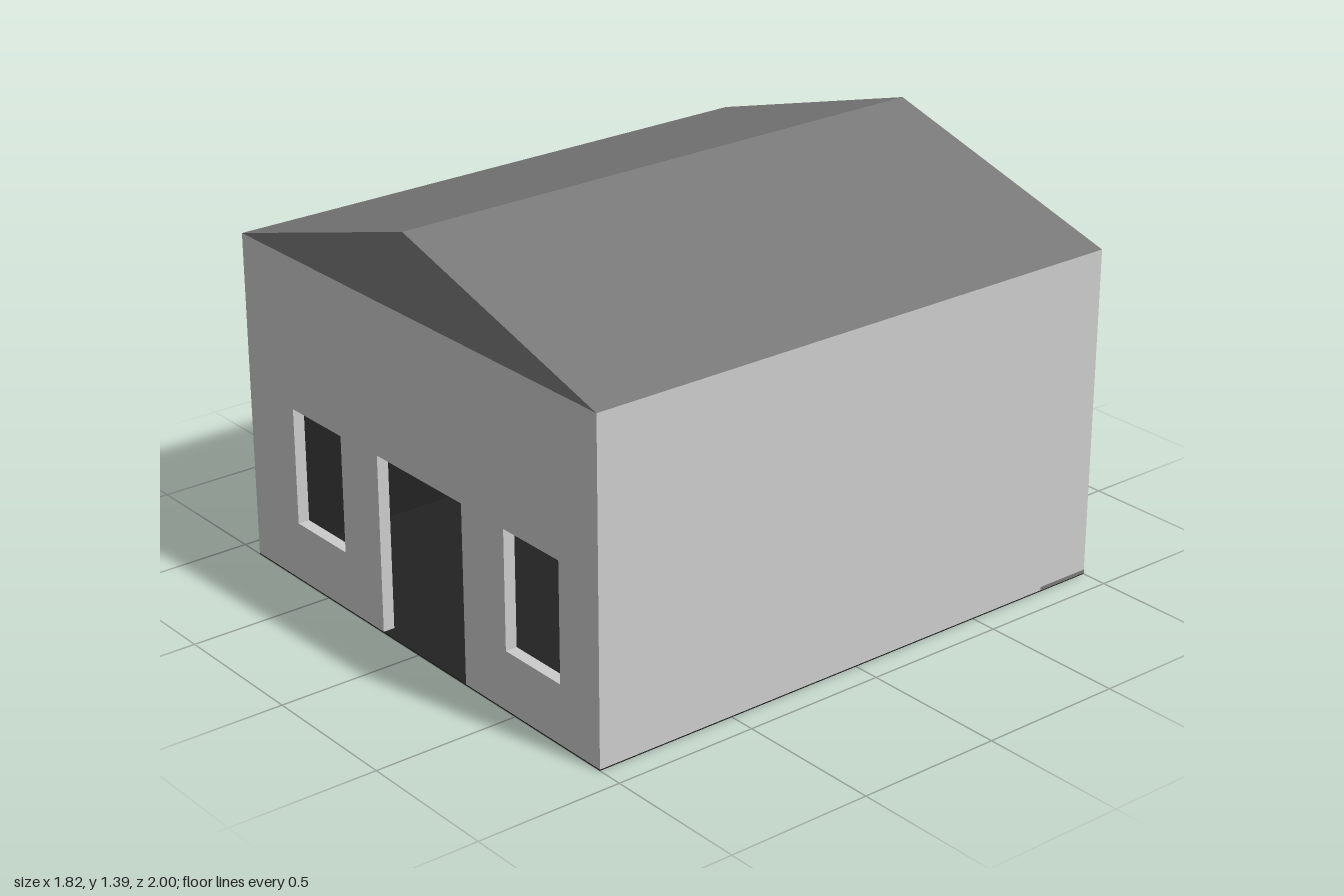
import * as THREE from 'three';

const W = 0.91, D = 1, EAVE = 1.13, RIDGE = 1.395, FLOOR = 0.004, T = 0.04;

const mat = (name, color, side = THREE.FrontSide) => {
  const m = new THREE.MeshStandardMaterial({ color, side });
  m.name = name;
  return m;
};

// Rectangle path from corner to corner
function rect(PathType, x0, y0, x1, y1) {
  return new PathType([[x0, y0], [x1, y0], [x1, y1], [x0, y1]].map(p => new THREE.Vector2(...p)));
}

export function createModel() {
  const house = new THREE.Group();
  house.name = 'house';
  const wallMat = mat('wallGrey', 0xcccccc);
  const roofMat = mat('roofGrey', 0x797979);
  const darkMat = mat('interiorDark', 0x222222);
  const liningMat = darkMat;

  const add = (name, geometry, material, x = 0, y = 0, z = 0) => {
    const mesh = new THREE.Mesh(geometry, material);
    mesh.name = name;
    mesh.position.set(x, y, z);
    house.add(mesh);
    return mesh;
  };
  const box = (name, material, x0, x1, y0, y1, z0, z1) =>
    add(name, new THREE.BoxGeometry(x1 - x0, y1 - y0, z1 - z0), material,
      (x0 + x1) / 2, (y0 + y1) / 2, (z0 + z1) / 2);

  // Floor slab covering the whole footprint
  box('floor', darkMat, -W, W, 0, FLOOR, -D, D);

  // Front wall: doorway cut into the outline, two window holes
  const front = new THREE.Shape([
    [-W, FLOOR], [-0.19, FLOOR], [-0.19, 0.612], [0.25, 0.612],
    [0.25, FLOOR], [W, FLOOR], [W, EAVE], [-W, EAVE],
  ].map(p => new THREE.Vector2(...p)));
  front.holes.push(rect(THREE.Path, -0.66, 0.205, -0.39, 0.607), rect(THREE.Path, 0.46, 0.205, 0.725, 0.607));
  add('frontWall', new THREE.ExtrudeGeometry(front, { depth: T, bevelEnabled: false }), wallMat, 0, 0, D - T);

  // Side and back walls
  box('rightWall', wallMat, -W, -W + T, FLOOR, EAVE, -D, D - T);
  box('leftWall', wallMat, W - T, W, FLOOR, EAVE, -D, D - T);
  box('backWall', wallMat, -W + T, W - T, FLOOR, EAVE, -D, -D + T);

  // Dark lining on the inside of the room
  const e = 0.004, h = EAVE - FLOOR;
  for (const s of [-1, 1]) {
    const x = s * (W - T - e / 2);
    box(s < 0 ? 'rightLining' : 'leftLining', liningMat, x - e / 2, x + e / 2, FLOOR, EAVE, -D + T, D - T);
  }
  add('backLining', new THREE.BoxGeometry(2 * (W - T), h, e), liningMat, 0, FLOOR + h / 2, -D + T + e / 2);
  box('ceiling', liningMat, -W + T, W - T, EAVE - e, EAVE, -D + T, D - T);

  // Low footing at the back corner, just proud of the walls
  box('cornerFooting', roofMat, -0.18, W + 0.001, FLOOR, 0.016, -D - 0.001, -0.8);

  // Solid gabled roof
  const gable = new THREE.Shape([[-W, EAVE], [W, EAVE], [-0.01, RIDGE]].map(p => new THREE.Vector2(...p)));
  add('roof', new THREE.ExtrudeGeometry(gable, { depth: 2 * D, bevelEnabled: false }), roofMat, 0, 0, -D);

  return house;
}
